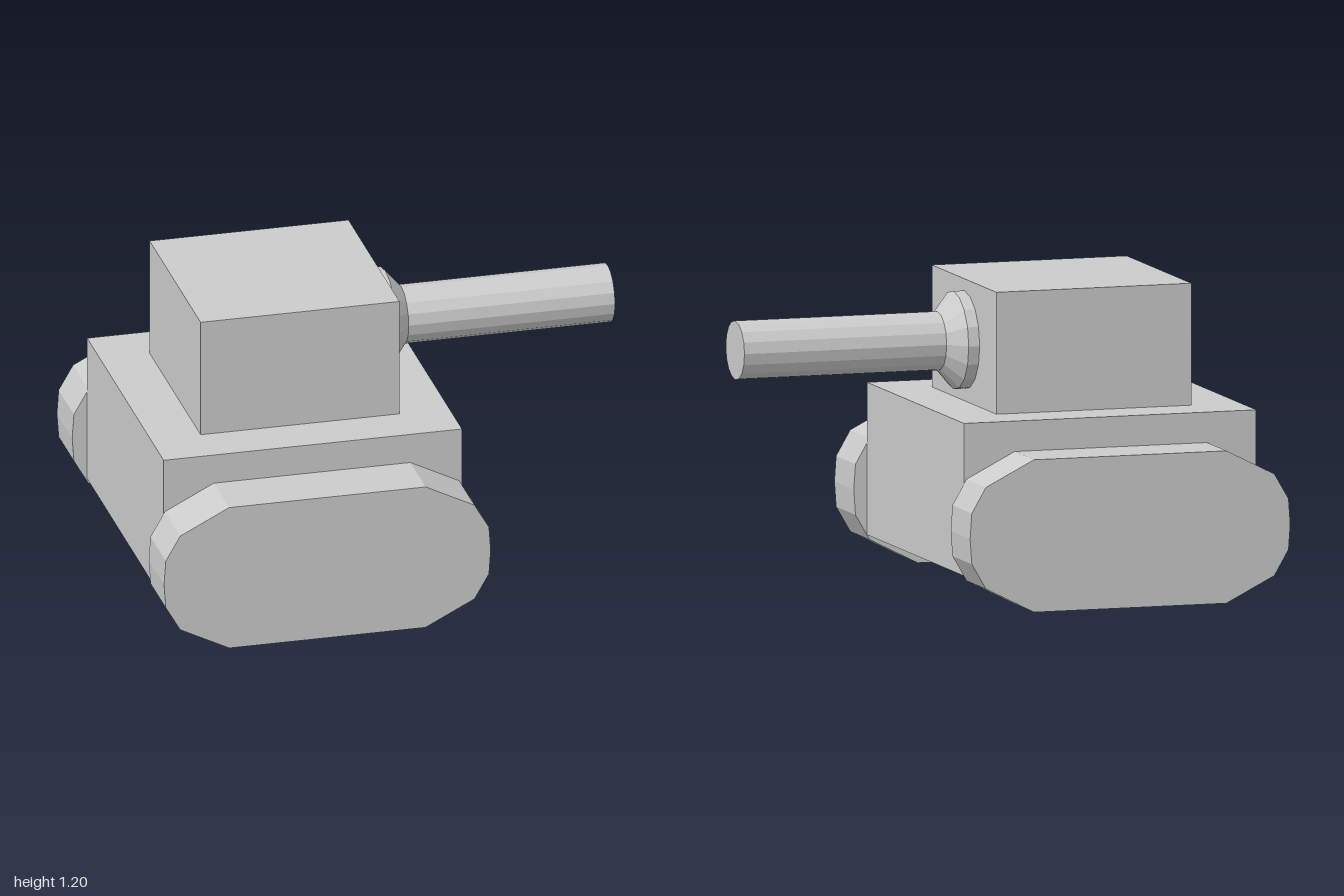
import * as THREE from 'three';

export function createModel() {
  const model = new THREE.Group();
  const material = new THREE.MeshStandardMaterial({ color: 0xcccccc, flatShading: true });
  const centreX = -0.34;

  const add = (name, geometry, x, y, z) => {
    const mesh = new THREE.Mesh(geometry, material);
    mesh.name = name;
    mesh.position.set(x, y, z);
    model.add(mesh);
    return mesh;
  };

  // Hull and turret blocks
  add('hull', new THREE.BoxGeometry(1.2, 0.6, 1.2), centreX, 0.42, 0);
  add('turret', new THREE.BoxGeometry(0.8, 0.48, 0.8), centreX, 0.96, 0);

  // Tracks: one faceted side profile, mirrored front to back
  const half = [[0.395, 0], [0.592, 0.1], [0.65, 0.2], [0.657, 0.3], [0.65, 0.4], [0.592, 0.5], [0.395, 0.6]];
  const outline = [
    ...half.map(([x, y]) => new THREE.Vector2(x, y)),
    ...[...half].reverse().map(([x, y]) => new THREE.Vector2(-x, y)),
  ];
  const trackGeometry = new THREE.ExtrudeGeometry(new THREE.Shape(outline), { depth: 0.24, bevelEnabled: false });
  add('frontTrack', trackGeometry, centreX - 0.003, 0, 0.6);
  add('backTrack', trackGeometry, centreX - 0.003, 0, -0.84);

  // Gun: collar, taper and barrel turned around the x axis
  const profile = [[0, 0], [0.193, 0], [0.193, 0.045], [0.116, 0.11], [0.116, 0.94], [0, 0.94]]
    .map(([r, l]) => new THREE.Vector2(r, l));
  add('gunBarrel', new THREE.LatheGeometry(profile, 16), 0.06, 0.96, 0).rotation.z = -Math.PI / 2;

  return model;
}
